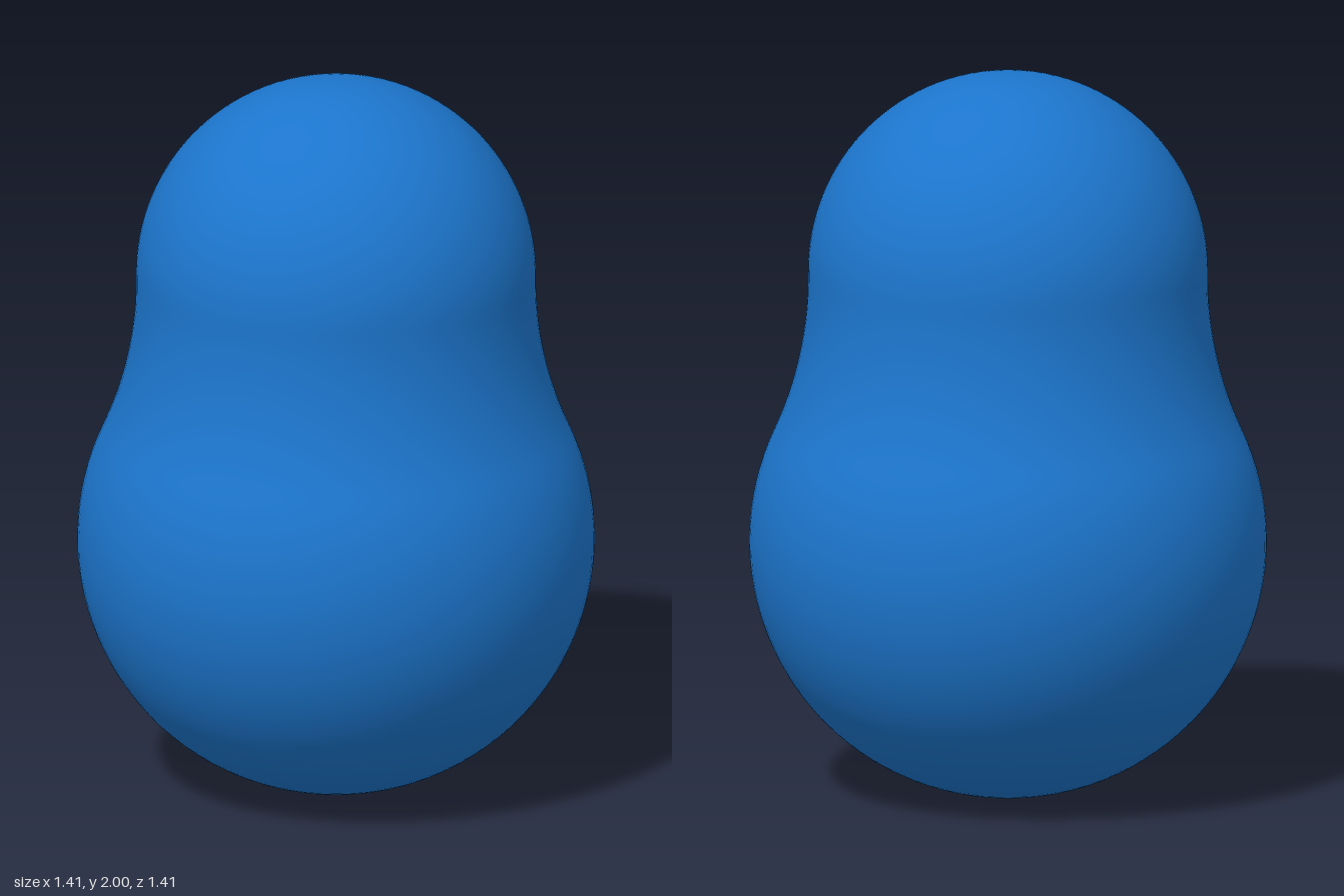
import * as THREE from 'three';

export function createModel() {
  const group = new THREE.Group();
  const rLow = 0.705, yLow = 0.705; // lower ball
  const rTop = 0.545, yTop = 1.455; // upper ball
  const rNeck = 1.05; // concave waist arc, tangent to both balls

  // Centre of the waist arc
  const d1 = rLow + rNeck, d2 = rTop + rNeck;
  const cy = (d1 * d1 - d2 * d2 + yTop * yTop - yLow * yLow) / (2 * (yTop - yLow));
  const cx = Math.sqrt(d1 * d1 - (cy - yLow) ** 2);
  const aLow = Math.atan2(cy - yLow, cx);
  const aTop = Math.atan2(cy - yTop, cx);

  // Profile from bottom pole to top pole
  const profile = [];
  const arc = (x, y, r, from, to, steps, first) => {
    for (let i = first; i <= steps; i++) {
      const a = from + (to - from) * i / steps;
      profile.push(new THREE.Vector2(Math.max(0, x + r * Math.cos(a)), y + r * Math.sin(a)));
    }
  };
  arc(0, yLow, rLow, -Math.PI / 2, aLow, 40, 0);
  arc(cx, cy, rNeck, Math.PI + aLow, Math.PI + aTop, 16, 1);
  arc(0, yTop, rTop, aTop, Math.PI / 2, 32, 1);

  const body = new THREE.Mesh(
    new THREE.LatheGeometry(profile, 96),
    new THREE.MeshStandardMaterial({ color: 0x1c75cc })
  );
  body.name = 'body';
  group.add(body);
  return group;
}
